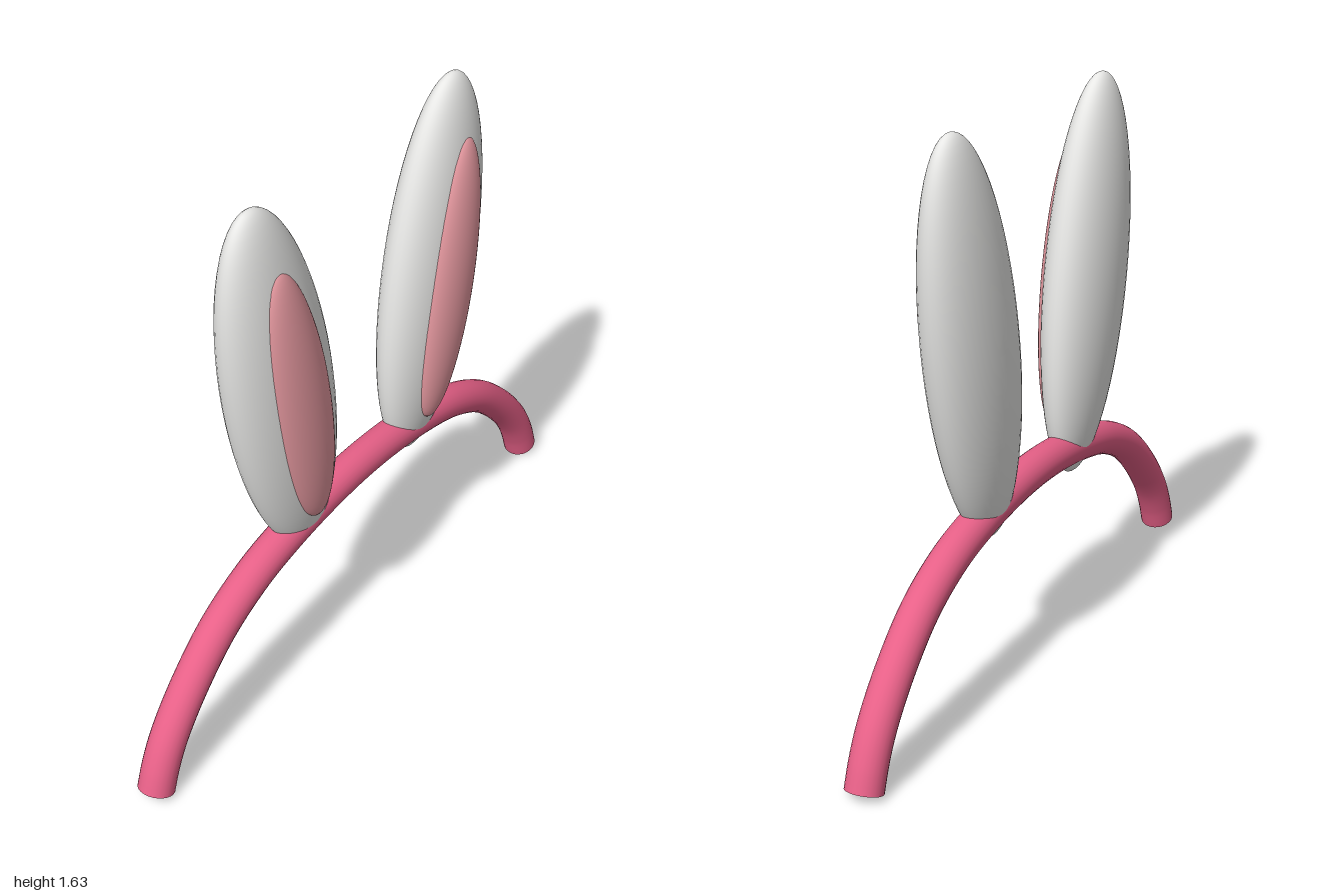
import * as THREE from 'three';

export function createModel() {
  const group = new THREE.Group();
  const mat = (name, color) => {
    const m = new THREE.MeshStandardMaterial({ color });
    m.name = name;
    return m;
  };
  const bandPink = mat('band pink', 0xff6b96);
  const earWhite = mat('ear white', 0xfcfcfa);
  const innerPink = mat('inner ear pink', 0xffaab2);
  const Z = -0.012, R = 0.053, TILT = 0.176;

  // Headband: half of the arch, mirrored into one smooth path
  const half = [[0.95, 0.022], [0.925, 0.09], [0.88, 0.173], [0.785, 0.287], [0.65, 0.402],
    [0.49, 0.48], [0.33, 0.521], [0.16, 0.545]];
  const points = [
    ...half.map(([x, y]) => new THREE.Vector3(-x, y, Z)),
    new THREE.Vector3(0, 0.553, Z),
    ...half.map(([x, y]) => new THREE.Vector3(x, y, Z)).reverse(),
  ];
  const path = new THREE.CatmullRomCurve3(points);
  const band = new THREE.Mesh(new THREE.TubeGeometry(path, 96, R, 24), bandPink);
  band.name = 'headband';
  group.add(band);

  // Flat ends of the band
  for (const t of [0, 1]) {
    const cap = new THREE.Mesh(new THREE.CircleGeometry(R, 24), bandPink);
    const outward = path.getTangent(t).multiplyScalar(t ? 1 : -1);
    cap.position.copy(path.getPoint(t));
    cap.quaternion.setFromUnitVectors(new THREE.Vector3(0, 0, 1), outward);
    cap.name = t ? 'leftBandEnd' : 'rightBandEnd';
    group.add(cap);
  }

  // Ears: tilted ellipsoids, each with a pink one set into its front
  const ellipsoid = (name, material, position, radii, tilt) => {
    const mesh = new THREE.Mesh(new THREE.SphereGeometry(1, 40, 32), material);
    mesh.name = name;
    mesh.position.set(...position);
    mesh.scale.set(...radii);
    mesh.rotation.z = tilt;
    group.add(mesh);
  };
  for (const [side, s] of [['left', 1], ['right', -1]]) {
    ellipsoid(side + 'Ear', earWhite, [s * 0.355, 1.045, Z], [0.195, 0.598, 0.102], -s * TILT);
    ellipsoid(side + 'InnerEar', innerPink, [s * 0.3525, 1.025, 0.052], [0.112, 0.447, 0.063], -s * TILT);
  }
  return group;
}
